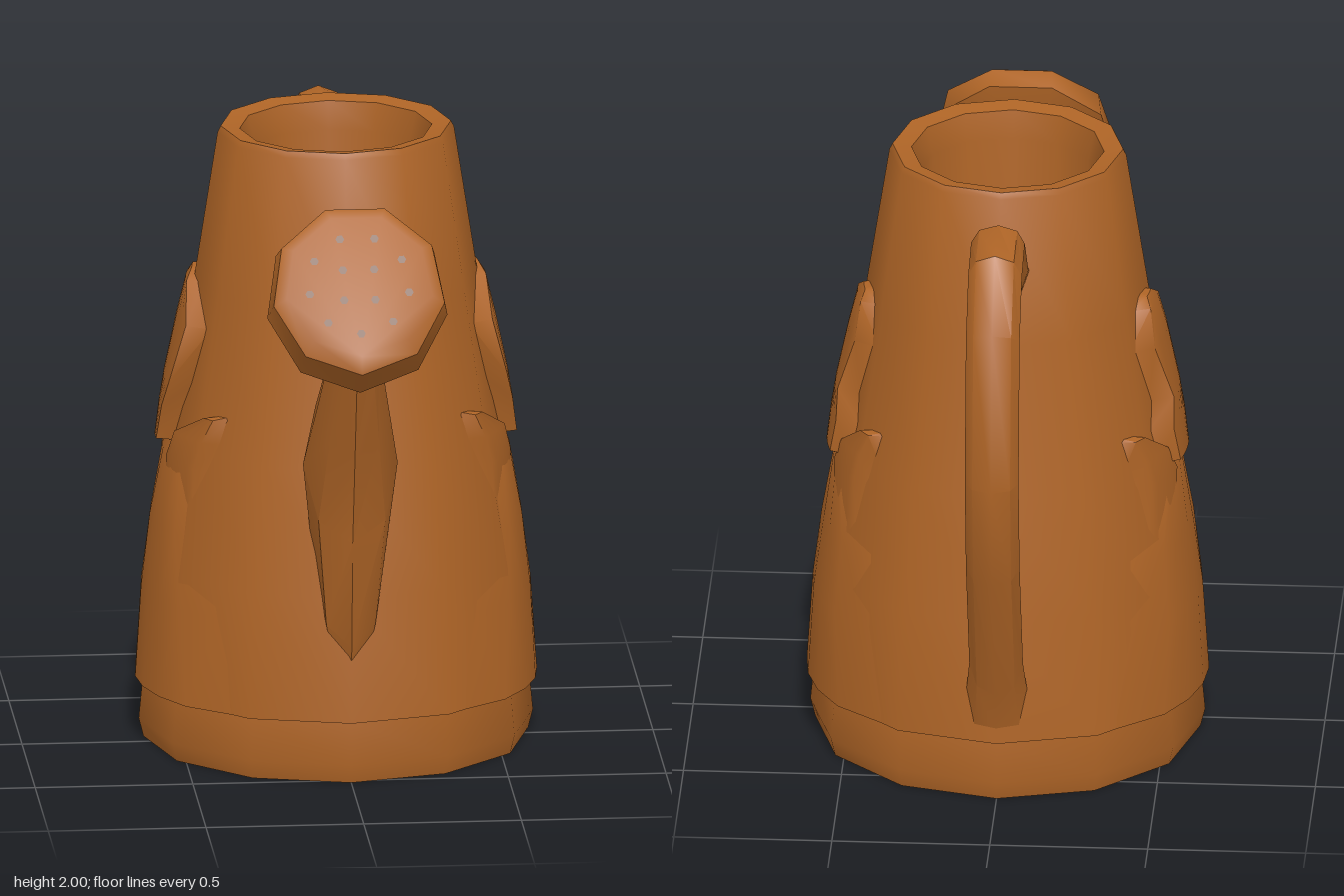
import * as THREE from 'three';
import { toCreasedNormals } from 'three/addons/utils/BufferGeometryUtils.js';

const clay = new THREE.MeshStandardMaterial({ color: 0xae6426, side: THREE.DoubleSide });
clay.name = 'brownClay';
const olive = new THREE.MeshStandardMaterial({ color: 0x6f6629, side: THREE.DoubleSide });
olive.name = 'oliveInside';
const dark = new THREE.MeshStandardMaterial({ color: 0x6e3d16 });
dark.name = 'darkHole';

const CZ = -0.062; // centre line of the can
const SZ = 0.965;  // the can is slightly flattened in z
const wall = [[0.61, 0], [0.625, 0.06], [0.612, 0.2], [0.632, 0.2], [0.602, 0.6], [0.53, 1], [0.45, 1.5], [0.375, 1.98], [0.365, 2]];

function mesh(name, geometry, material = clay, crease = 0.75) {
  const m = new THREE.Mesh(crease ? toCreasedNormals(geometry, crease) : geometry, material);
  m.name = name;
  return m;
}

// Joins rows of points (all the same length) into a surface
function skin(rows, closed, caps) {
  const n = rows[0].length, pos = rows.flat(2), index = [];
  const cols = closed ? n : n - 1;
  for (let r = 0; r < rows.length - 1; r++) {
    for (let c = 0; c < cols; c++) {
      const a = r * n + c, b = r * n + (c + 1) % n;
      index.push(a, b, a + n, b, b + n, a + n);
    }
  }
  if (caps) {
    const last = (rows.length - 1) * n;
    for (let c = 1; c < n - 1; c++) index.push(0, c + 1, c, last, last + c, last + c + 1);
  }
  const g = new THREE.BufferGeometry();
  g.setAttribute('position', new THREE.Float32BufferAttribute(pos, 3));
  g.setIndex(index);
  return g;
}

// Loft through oval sections: each spans two points (z, y) in the middle plane, with a half width in x
function loft(sections, sides = 8) {
  return skin(sections.map(([za, ya, zb, yb, w]) => {
    const ring = [];
    for (let i = 0; i < sides; i++) {
      const t = i / sides * Math.PI * 2, c = Math.cos(t) / 2;
      ring.push([Math.sin(t) * w, (ya + yb) / 2 + c * (ya - yb), (za + zb) / 2 + c * (za - zb)]);
    }
    return ring;
  }), true, true);
}

// Radius of the can at a height above the foot
function radiusAt(y) {
  for (let i = 3; i < wall.length - 1; i++) {
    const [r0, y0] = wall[i], [r1, y1] = wall[i + 1];
    if (y <= y1) return r0 + (r1 - r0) * Math.max(0, (y - y0) / (y1 - y0));
  }
  return wall[wall.length - 1][0];
}

// Raised relief on the side wall: rows of [y, z from, z to, lift]
function relief(rows, side) {
  const cols = 8;
  return skin(rows.map(([y, z0, z1, lift]) => {
    const line = [];
    for (let i = 0; i <= cols; i++) {
      const edge = i === 0 || i === cols;
      const z = z0 + (z1 - z0) * i / cols;
      const r = radiusAt(y), d = (z - CZ) / (SZ * r);
      const x = r * Math.sqrt(Math.max(0, 1 - d * d)) + (edge ? -0.025 : lift);
      line.push([side * x, y, z]);
    }
    return line;
  }), false, false);
}

export function createModel() {
  const can = new THREE.Group();
  can.name = 'wateringCan';

  // Body with foot, rim and inner wall
  const inner = [[0.305, 1.99], [0.285, 1.9], [0.285, 0.21]];
  const profile = [[0.001, 0], ...wall, ...inner].map(p => new THREE.Vector2(p[0], p[1]));
  const body = mesh('body', new THREE.LatheGeometry(profile, 12), clay, 0.7);
  body.scale.z = SZ;
  body.position.z = CZ;
  can.add(body);

  // Inside floor
  const floor = mesh('insideFloor', new THREE.CircleGeometry(0.3, 12), olive, 0);
  floor.rotation.x = -Math.PI / 2;
  floor.position.set(0, 0.22, CZ);
  can.add(floor);

  // Handle
  can.add(mesh('handle', loft([
    [-0.40, 1.84, -0.42, 1.62, 0.09], [-0.44, 1.87, -0.505, 1.65, 0.09],
    [-0.55, 1.95, -0.60, 1.85, 0.085], [-0.74, 1.93, -0.71, 1.78, 0.085],
    [-0.89, 1.72, -0.80, 1.65, 0.085], [-0.95, 1.2, -0.85, 1.23, 0.085],
    [-0.89, 0.85, -0.80, 0.94, 0.085], [-0.70, 0.38, -0.64, 0.58, 0.085],
    [-0.66, 0.22, -0.58, 0.45, 0.1],
  ])));

  // Spout, widening and fading into the lower wall
  can.add(mesh('spout', loft([
    [0.76, 1.43, 0.62, 1.58, 0.07], [0.67, 1.11, 0.52, 1.43, 0.11],
    [0.58, 0.8, 0.40, 1.28, 0.15], [0.55, 0.45, 0.3, 0.9, 0.11],
    [0.48, 0.25, 0.3, 0.5, 0.05],
  ])));

  // Rose at the spout's end
  can.add(mesh('rose', loft([
    [0.75, 1.44, 0.63, 1.6, 0.1], [0.87, 1.38, 0.60, 1.91, 0.29],
    [0.95, 1.46, 0.66, 1.94, 0.275], [0.945, 1.52, 0.70, 1.92, 0.235],
  ], 9)));

  // Sprinkler holes on the rose face
  const holes = new THREE.Group();
  holes.name = 'sprinklerHoles';
  holes.position.set(0, 1.72, 0.823);
  holes.rotation.x = -Math.atan2(0.245, 0.4);
  for (const [count, radius] of [[4, 0.07], [9, 0.16]]) {
    for (let i = 0; i < count; i++) {
      const t = (i + 0.5) / count * Math.PI * 2;
      const hole = mesh('hole', new THREE.CircleGeometry(0.014, 6), dark, 0);
      hole.position.set(Math.sin(t) * radius, Math.cos(t) * radius, 0.004);
      holes.add(hole);
    }
  }
  can.add(holes);

  // Flower relief on both sides: bud, two leaf tips and a broad skirt
  for (const side of [1, -1]) {
    const flower = new THREE.Group();
    flower.name = side > 0 ? 'leftRelief' : 'rightRelief';
    flower.add(mesh('bud', relief([
      [0.98, -0.02, -0.22, -0.02], [0.985, -0.01, -0.22, 0.04], [1.1, 0.02, -0.245, 0.045],
      [1.19, 0.06, -0.2, 0.045], [1.38, 0.11, -0.265, 0.035], [1.5, -0.02, -0.2, 0.025],
      [1.53, -0.08, -0.16, 0.01], [1.535, -0.1, -0.14, -0.03],
    ], side)));
    flower.add(mesh('frontLeafTip', relief([
      [0.8, 0.24, 0.0, -0.01], [0.95, 0.24, 0.0, 0.015], [1.04, 0.25, 0.05, 0.02],
      [1.12, 0.255, 0.21, 0.02], [1.13, 0.25, 0.23, -0.03],
    ], side)));
    flower.add(mesh('backLeafTip', relief([
      [0.73, -0.2, -0.37, -0.01], [0.95, -0.14, -0.365, 0.015], [1.04, -0.2, -0.365, 0.02],
      [1.12, -0.32, -0.37, 0.02], [1.13, -0.34, -0.365, -0.03],
    ], side)));
    flower.add(mesh('skirt', relief([
      [0.2, 0.43, -0.54, -0.03], [0.2, 0.43, -0.54, 0.005], [0.5, 0.35, -0.47, 0.008],
      [0.73, 0.27, -0.43, 0.01], [0.95, 0.2, -0.3, 0.01], [1.02, 0.1, -0.25, -0.02],
    ], side)));
    can.add(flower);
  }
  return can;
}
